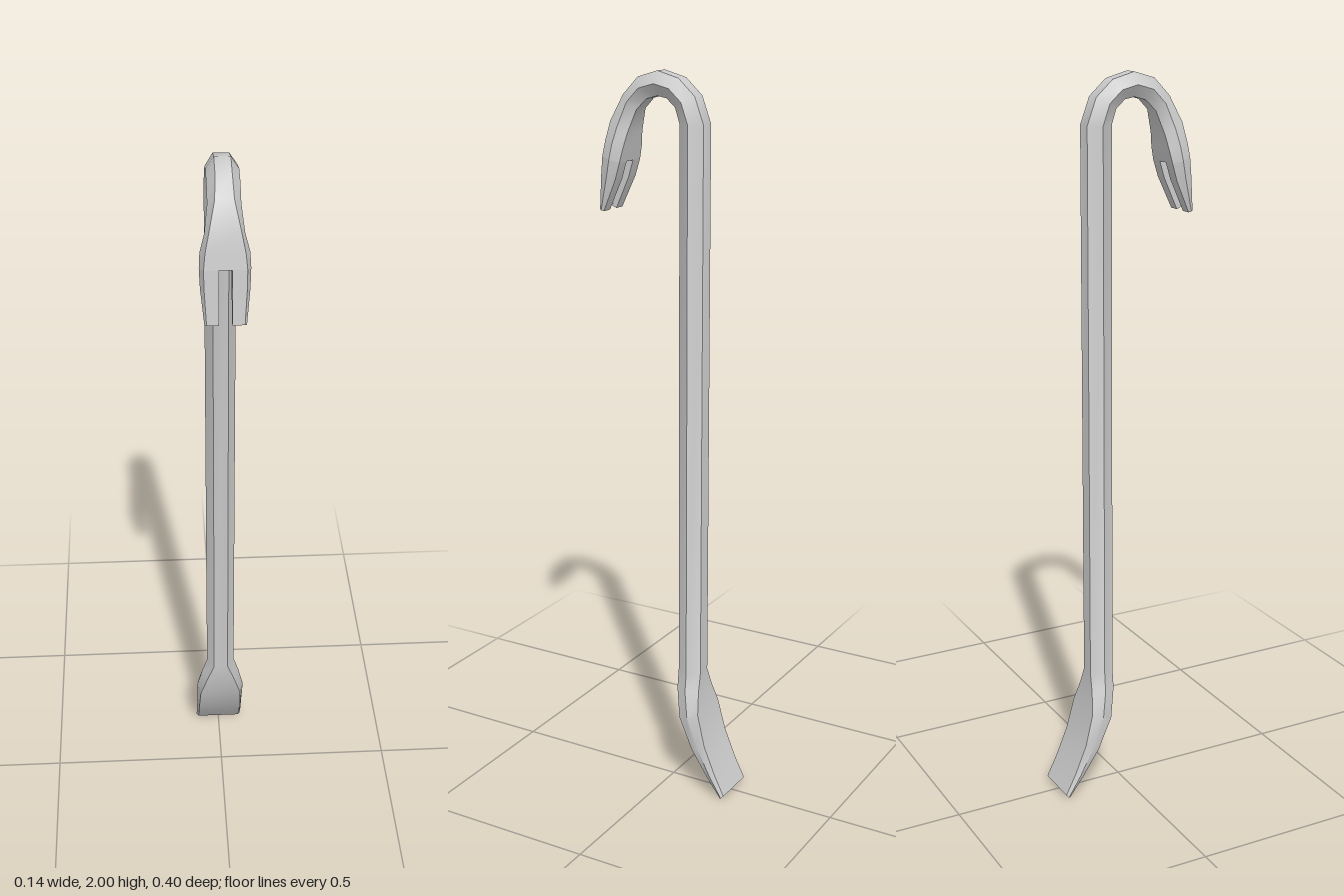
import * as THREE from 'three';
import { toCreasedNormals } from 'three/addons/utils/BufferGeometryUtils.js';

// Station: [outer y, outer z, inner y, inner z, half width, half width of the flat faces]
const CHISEL = [
  [0.01, -0.198, 0, -0.187, 0.069, 0.063],
  [0.07, -0.168, 0.06, -0.142, 0.069, 0.063],
  [0.15, -0.135, 0.13, -0.095, 0.068, 0.063],
  [0.24, -0.112, 0.22, -0.053, 0.07, 0.06],
  [0.30, -0.102, 0.30, -0.034, 0.055, 0.038],
  [0.35, -0.098, 0.35, -0.028, 0.04, 0.02],
];
const HOOK = [
  [1.87, -0.098, 1.87, -0.028, 0.04, 0.02],
  [1.94, -0.072, 1.91, -0.015, 0.04, 0.02],
  [1.983, -0.025, 1.932, 0.01, 0.04, 0.02],
  [2.0, 0.037, 1.937, 0.037, 0.04, 0.02],
  [1.983, 0.095, 1.928, 0.07, 0.04, 0.02],
  [1.937, 0.138, 1.90, 0.098, 0.04, 0.023],
  [1.87, 0.168, 1.84, 0.117, 0.048, 0.038],
  [1.82, 0.178, 1.80, 0.125, 0.06, 0.048],
  [1.78, 0.185, 1.765, 0.133, 0.062, 0.052],
];
const CLAW_TIPS = [
  HOOK[HOOK.length - 1],
  [1.73, 0.19, 1.72, 0.147, 0.06, 0.051],
  [1.64, 0.198, 1.635, 0.186, 0.051, 0.046],
];
const SLOT = 0.016;

// Half of the six-sided section, from the outer flat to the inner flat
const half = ([oy, oz, iy, iz, w, f]) => [
  [f, oy, oz], [w, (oy + iy) / 2, (oz + iz) / 2], [f, iy, iz],
];
const mirror = (pts) => pts.map(([x, y, z]) => [-x, y, z]).reverse();
const hexSection = (s) => [...half(s), ...mirror(half(s))];
const prongSection = (s) => [[SLOT, s[0], s[1]], ...half(s), [SLOT, s[2], s[3]]];

// Skin a row of sections and cap both ends
function loft(name, rings, material) {
  const n = rings[0].length;
  const index = [];
  for (let r = 0; r < rings.length - 1; r++) {
    for (let i = 0; i < n; i++) {
      const a = r * n + i, b = r * n + (i + 1) % n;
      index.push(a, a + n, b, b, a + n, b + n);
    }
  }
  const end = (rings.length - 1) * n;
  for (let i = 1; i < n - 1; i++) {
    index.push(0, i, i + 1, end, end + i + 1, end + i);
  }
  const geometry = new THREE.BufferGeometry();
  geometry.setAttribute('position', new THREE.Float32BufferAttribute(rings.flat(2), 3));
  geometry.setIndex(index);
  const mesh = new THREE.Mesh(toCreasedNormals(geometry, 0.6), material);
  mesh.name = name;
  return mesh;
}

export function createModel() {
  const group = new THREE.Group();
  group.name = 'crowbar';
  const steel = new THREE.MeshStandardMaterial({ color: 0xcccccc });

  // Chisel end, straight shaft and hook in one continuous bar
  group.add(loft('bar', [...CHISEL, ...HOOK].map(hexSection), steel));

  // Two claw prongs either side of the nail slot
  const rings = CLAW_TIPS.map(prongSection);
  group.add(loft('leftProng', rings, steel));
  group.add(loft('rightProng', rings.map(mirror), steel));
  return group;
}
